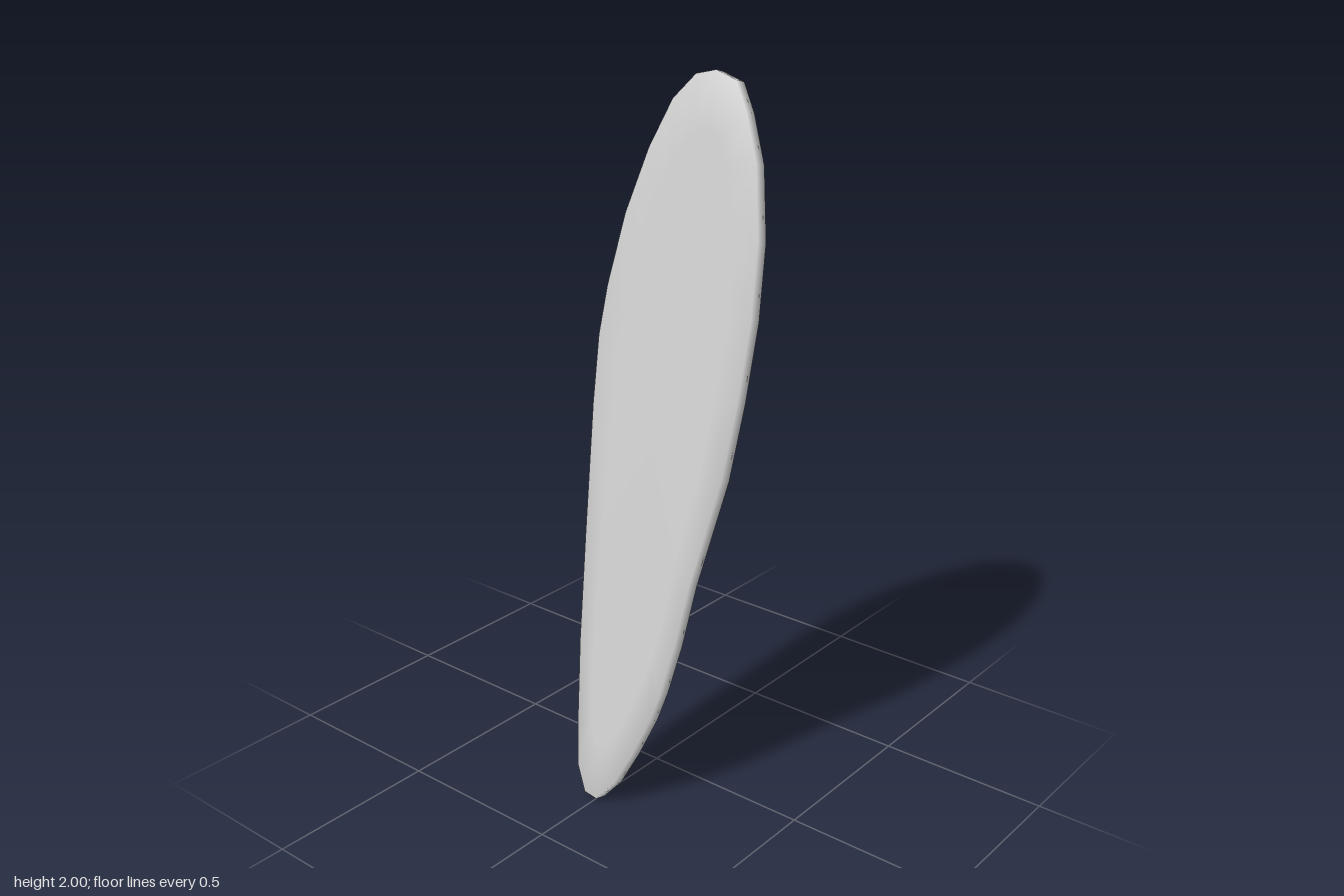
import * as THREE from 'three';

const TILT = Math.PI / 12;
const THICKNESS = 0.038;

// Board outline, clockwise from the tip: [x, height when tilted]
const OUTLINE = [
  [0, 2], [0.07, 1.98], [0.12, 1.905], [0.18, 1.78], [0.228, 1.59], [0.25, 1.39],
  [0.253, 1.18], [0.245, 0.97], [0.2, 0.67], [0.187, 0.5], [0.167, 0.365], [0.147, 0.28],
  [0.106, 0.17], [0.06, 0.07], [0.01, 0.01], [-0.035, 0.015], [-0.075, 0.08], [-0.1, 0.19],
  [-0.143, 0.43], [-0.185, 0.72], [-0.235, 1.08], [-0.254, 1.265], [-0.252, 1.4],
  [-0.23, 1.6], [-0.185, 1.78], [-0.13, 1.915], [-0.065, 1.985],
].map(([x, y]) => [x, (y - 1.005) / Math.cos(TILT)]);

// Flat slab of four rings (inner front, front rim, back rim, inner back) with shared, smooth normals
function slabGeometry() {
  const n = OUTLINE.length;
  const h = THICKNESS / 2;
  const rings = [[0.7, 0.85, h], [1, 1, h], [1, 1, -h], [0.7, 0.85, -h]];
  const positions = [];
  const index = [];
  for (const [sx, sy, z] of rings) {
    for (const [x, y] of OUTLINE) positions.push(x * sx, y * sy, z);
  }
  const front = rings.length * n;
  positions.push(0, 0, h, 0, 0, -h);
  for (let i = 0; i < n; i++) {
    const j = (i + 1) % n;
    for (let k = 0; k < rings.length - 1; k++) {
      const a = k * n + i, b = k * n + j;
      index.push(a, b, b + n, a, b + n, a + n);
    }
    index.push(front, j, i, front + 1, 3 * n + i, 3 * n + j);
  }
  const geometry = new THREE.BufferGeometry();
  geometry.setAttribute('position', new THREE.Float32BufferAttribute(positions, 3));
  geometry.setIndex(index);
  geometry.computeVertexNormals();
  return geometry;
}

export function createModel() {
  const model = new THREE.Group();
  model.name = 'leaningBoard';
  const board = new THREE.Mesh(slabGeometry(), new THREE.MeshStandardMaterial({ color: 0xcccccc }));
  board.name = 'board';
  // Lean back, with the tail on the ground
  board.rotation.x = -TILT;
  board.position.y = 1;
  model.add(board);
  return model;
}
